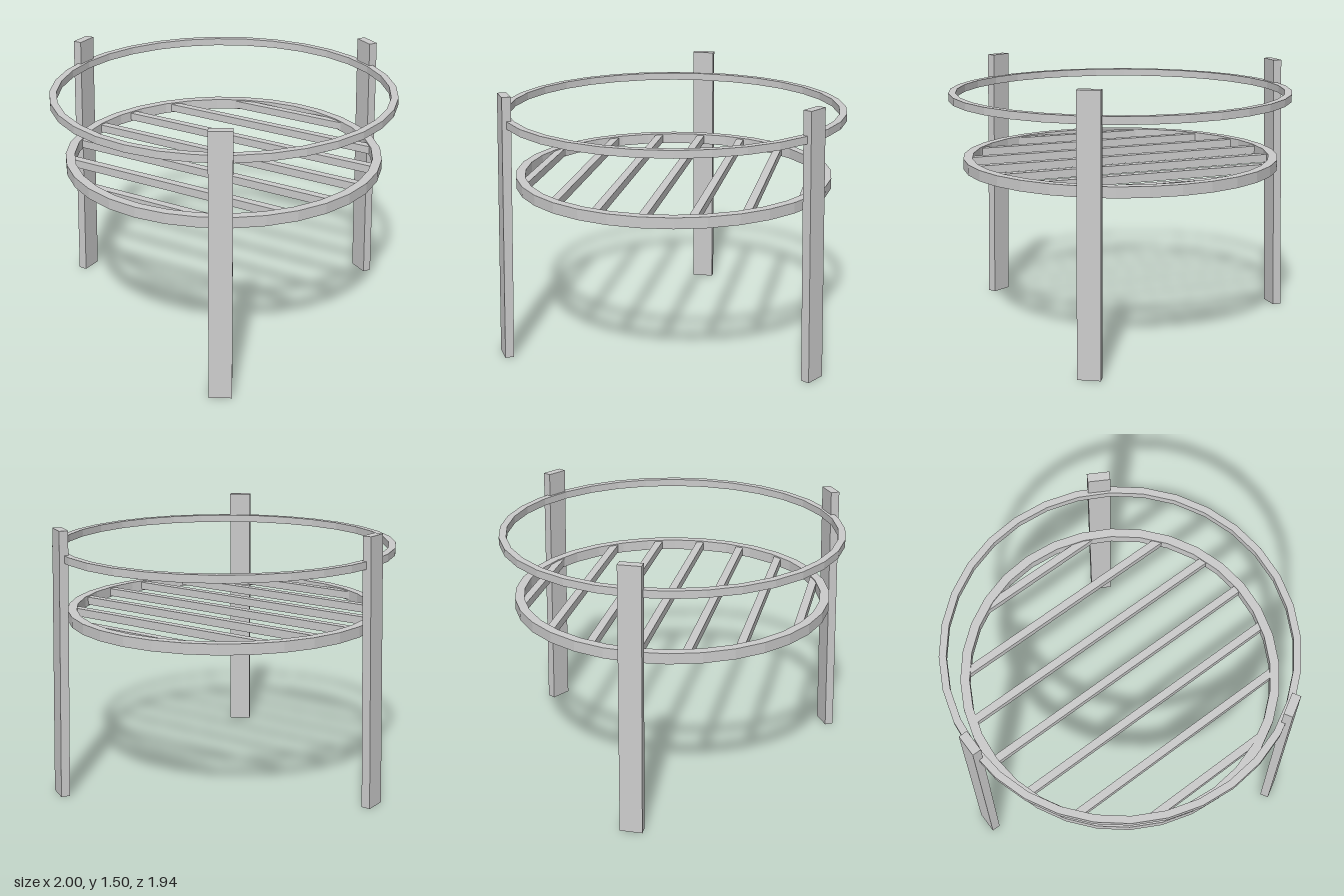
import * as THREE from 'three';

const material = new THREE.MeshStandardMaterial({ color: 0xcccccc, flatShading: true });
const CENTRE_X = 0.026; // axis of the rings; the tripod is not symmetric in x

function addMesh(parent, geometry, name) {
  const mesh = new THREE.Mesh(geometry, material);
  mesh.name = name;
  parent.add(mesh);
  return mesh;
}

// Faceted flat hoop with a rectangular section
function hoop(inner, outer, bottom, top) {
  const profile = [[outer, bottom], [outer, top], [inner, top], [inner, bottom], [outer, bottom]]
    .map(([r, y]) => new THREE.Vector2(r, y));
  const geometry = new THREE.LatheGeometry(profile, 32).toNonIndexed();
  geometry.computeVertexNormals();
  return geometry;
}

// Flat bar standing on y = 0, its top leaning towards the axis
function legGeometry(height, baseRadius, topRadius) {
  const geometry = new THREE.BoxGeometry(0.05, height, 0.125).translate(0, height / 2, 0);
  const p = geometry.attributes.position;
  for (let i = 0; i < p.count; i++) {
    p.setX(i, p.getX(i) + THREE.MathUtils.lerp(baseRadius, topRadius, p.getY(i) / height));
  }
  geometry.computeVertexNormals();
  return geometry;
}

export function createModel() {
  const model = new THREE.Group();
  model.name = 'grillStand';
  const stand = new THREE.Group();
  stand.name = 'stand';
  stand.position.x = CENTRE_X;
  model.add(stand);

  // Rings
  addMesh(stand, hoop(0.93, 0.97, 1.325, 1.367), 'upperRing');
  addMesh(stand, hoop(0.845, 0.897, 0.935, 0.995), 'grateRing');

  // Parallel grate bars, cut to the chord of the ring
  const grate = new THREE.Group();
  grate.name = 'grateBars';
  stand.add(grate);
  for (let i = -3; i <= 3; i++) {
    const z = i * 0.258 - 0.004;
    const length = 2 * Math.sqrt(0.868 ** 2 - z ** 2);
    addMesh(grate, new THREE.BoxGeometry(length, 0.045, 0.045), 'grateBar').position.set(0, 0.965, z);
  }

  // Three leaning legs
  const leg = legGeometry(1.5, 1.001, 0.963);
  for (let i = 0; i < 3; i++) {
    addMesh(stand, leg, 'leg').rotation.y = Math.PI + (i * 2 * Math.PI) / 3;
  }
  return model;
}
